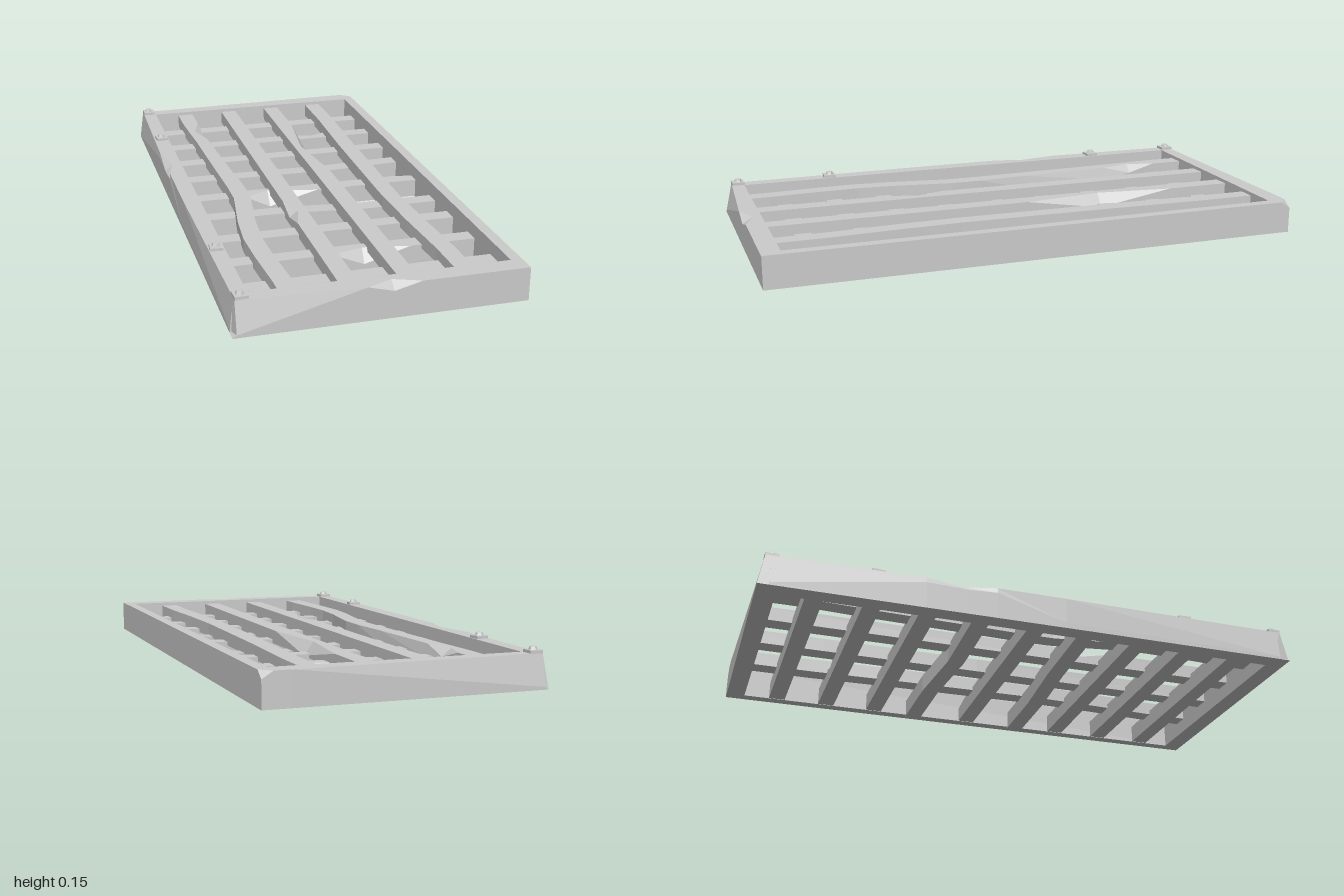
import * as THREE from 'three';

const material = new THREE.MeshStandardMaterial({ color: 0xcccccc, flatShading: true });
const BOTTOM = 0.015, TOP = 0.135;

// Lofted beam along 'x' or 'z'. Each station: [along, sideways shift, vertical shift,
// chip width and depth on the + top edge, chip width and depth on the - top edge].
function beam(name, axis, center, halfWidth, bottom, top, stations, startInset = 0) {
  const points = [], index = [], n = 6;
  stations.forEach(([t, shift = 0, dy = 0, cp = 0, dp = 0, cm = 0, dm = 0], s) => {
    const w = halfWidth;
    const profile = [[-w, bottom], [w, bottom], [w, top - dp], [w - cp, top], [-w + cm, top], [-w, top - dm]];
    profile.forEach(([u, y], k) => {
      const along = t + (s === 0 && k > 1 ? startInset : 0);
      const side = center + shift + u;
      points.push(...(axis === 'x' ? [along, y + dy, side] : [side, y + dy, along]));
    });
  });
  const face = (a, b, c) => index.push(...(axis === 'x' ? [a, c, b] : [a, b, c]));
  for (let s = 0; s < stations.length - 1; s++) {
    for (let j = 0; j < n; j++) {
      const a = s * n + j, b = s * n + (j + 1) % n;
      face(a, b, b + n);
      face(a, b + n, a + n);
    }
  }
  const last = (stations.length - 1) * n;
  for (let j = 1; j < n - 1; j++) {
    face(0, j + 1, j);
    face(last, last + j, last + j + 1);
  }
  const indexed = new THREE.BufferGeometry();
  indexed.setAttribute('position', new THREE.Float32BufferAttribute(points, 3));
  indexed.setIndex(index);
  const geometry = indexed.toNonIndexed();
  geometry.computeVertexNormals();
  const mesh = new THREE.Mesh(geometry, material);
  mesh.name = name;
  return mesh;
}

// Outer rails with chipped and worn top edges
function buildFrame() {
  const frame = new THREE.Group();
  frame.name = 'frame';
  frame.add(
    beam('frontRail', 'x', 0.965, 0.035, BOTTOM, TOP, [
      [-0.5, 0, 0, 0.025, 0.11], [-0.06], [0.03, 0, 0, 0.038, 0.024], [0.125], [0.5],
    ], 0.014),
    beam('backRail', 'x', -0.965, 0.035, BOTTOM, TOP, [
      [-0.5, 0, 0, 0, 0, 0.02, 0.11], [0.4], [0.46], [0.5, 0, 0, 0, 0, 0.035, 0.025],
    ], 0.014),
    beam('leftRail', 'z', 0.48, 0.02, BOTTOM, TOP, [[-0.96], [0.96]]),
    beam('rightRail', 'z', -0.4675, 0.0325, BOTTOM, TOP, [
      [-0.96, 0, 0, 0, 0, 0.014, 0.11], [-0.42, 0, 0, 0, 0, 0.003, 0.02],
      [-0.27, 0, 0, 0, 0, 0.03, 0.025], [-0.16, 0, 0, 0, 0, 0.003, 0.02],
      [0.1, 0, 0, 0, 0, 0.003, 0.1], [0.96, 0, 0, 0, 0, 0.014, 0.11],
    ]),
  );
  return frame;
}

// Upper bars running lengthwise, two of them bent
function buildLongBars() {
  const bars = new THREE.Group();
  bars.name = 'longBars';
  const layouts = [
    [-0.3, [[-0.95], [-0.8], [-0.69, 0.005, 0, 0.038, 0.03], [-0.57, 0.012, 0, 0.012, 0.05],
      [-0.2, 0.023, 0, 0.006, 0.05], [0.0, 0.03], [0.12, 0.03], [0.35, -0.005], [0.5, -0.018],
      [0.65, -0.014], [0.85, -0.002], [0.95]]],
    [-0.1, [[-0.95], [0.2], [0.3, 0, 0, 0, 0, 0.033, 0.025], [0.42], [0.95]]],
    [0.1, [[-0.95], [-0.68], [-0.38, 0, 0, 0.037, 0.05], [-0.07], [0.95]]],
    [0.3, [[-0.95], [-0.7, 0], [-0.35, -0.012], [0, -0.018], [0.25, -0.022], [0.5, -0.014],
      [0.75, 0], [0.95, 0.002]]],
  ];
  layouts.forEach(([x, stations], i) =>
    bars.add(beam(`longBar${i + 1}`, 'z', x, 0.0325, 0.07, 0.122, stations)));
  return bars;
}

// Lower bars running crosswise; two sag below the frame
function buildCrossBars() {
  const bars = new THREE.Group();
  bars.name = 'crossBars';
  const special = {
    2: [[-0.46], [0.12], [0.2, 0, 0, 0, 0, 0.03, 0.02], [0.27], [0.47]],
    4: [[-0.46, -0.007], [-0.1, 0, 0], [0.17, -0.032, -0.015], [0.47, -0.03, -0.006]],
    5: [[-0.46], [-0.24], [-0.14, 0, 0, 0.042, 0.05], [0.05], [0.38], [0.47, 0, 0, 0, 0, 0.015, 0.015]],
    6: [[-0.46, -0.01], [-0.1, 0, 0], [0.17, 0.012, -0.01], [0.47, 0.018, -0.006]],
    8: [[-0.46], [-0.07], [0.05, 0, 0, 0.032, 0.05], [0.22], [0.47]],
  };
  for (let i = 1; i <= 9; i++) {
    const stations = special[i] ?? [[-0.46], [0.47]];
    bars.add(beam(`crossBar${i}`, 'x', -1 + i * 0.2, 0.0315, 0.0165, 0.085, stations));
  }
  return bars;
}

// Small bolt on a square washer
function buildBolt(z, tilt) {
  const bolt = new THREE.Group();
  bolt.name = 'bolt';
  const washer = new THREE.Mesh(new THREE.BoxGeometry(0.046, 0.011, 0.048), material);
  washer.name = 'washer';
  washer.position.y = 0.0045;
  const head = new THREE.Mesh(new THREE.CylinderGeometry(0.012, 0.017, 0.012, 6), material);
  head.name = 'boltHead';
  head.position.y = 0.015;
  bolt.add(washer, head);
  bolt.position.set(-0.463, TOP, z);
  bolt.rotation.y = tilt;
  return bolt;
}

export function createModel() {
  const model = new THREE.Group();
  model.name = 'floorGrate';
  model.add(buildFrame(), buildLongBars(), buildCrossBars());
  [[-0.957, 0], [-0.59, 0.08], [0.58, -0.08], [0.952, 0.05]]
    .forEach(([z, tilt]) => model.add(buildBolt(z, tilt)));
  return model;
}
